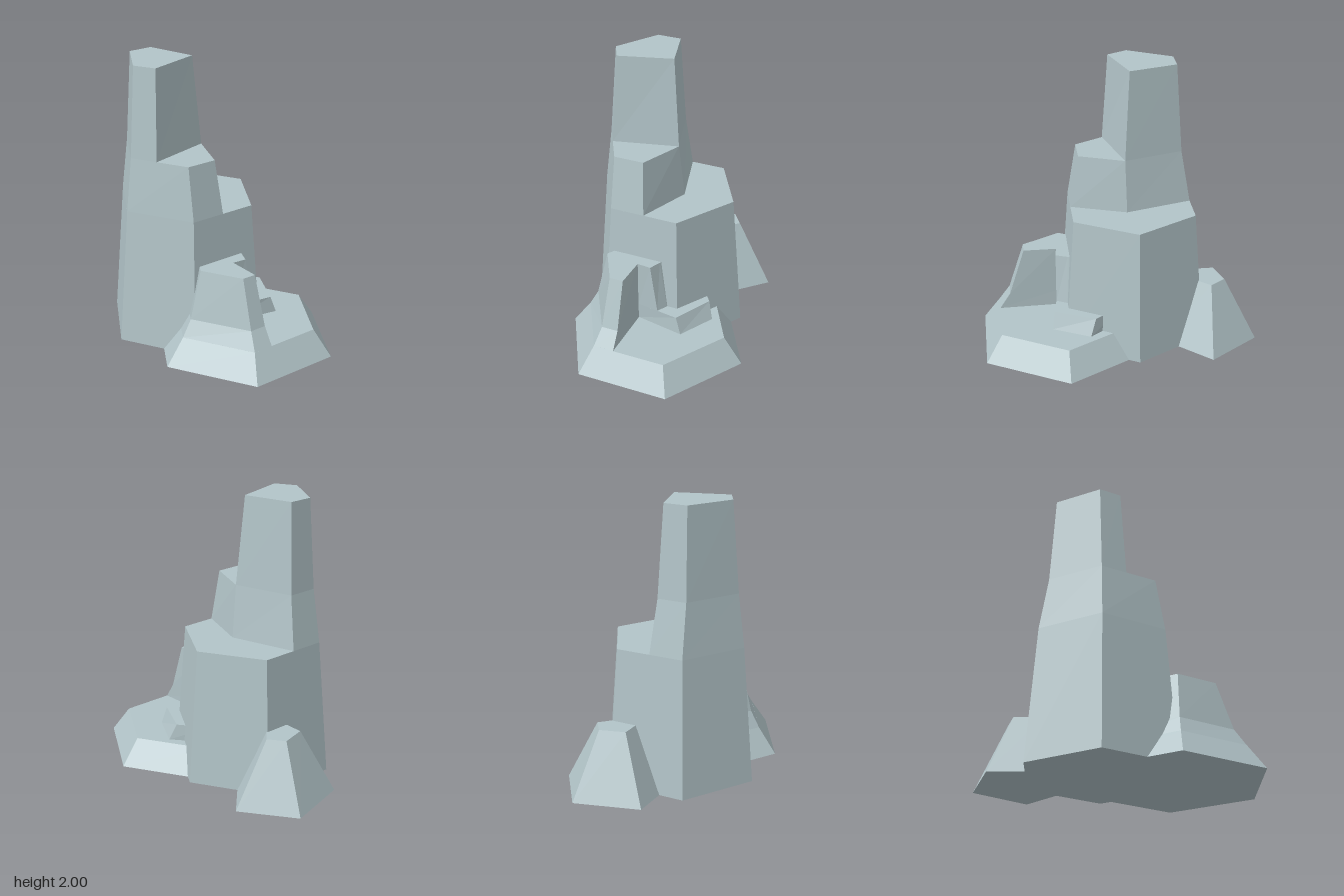
import * as THREE from 'three';

// Flat-shaded loft through [y, [[x, z], ...]] sections with equal corner counts
function loft(sections) {
  const rings = sections.map(([y, pts]) => {
    const flat = pts.map(([x, z]) => new THREE.Vector2(x, z));
    if (THREE.ShapeUtils.area(flat) > 0) flat.reverse();
    return flat.map((p) => new THREE.Vector3(p.x, y, p.y));
  });
  const out = [];
  const tri = (a, b, c) => [a, b, c].forEach((p) => out.push(p.x, p.y, p.z));

  // Sides
  for (let i = 0; i < rings.length - 1; i++) {
    const lo = rings[i], hi = rings[i + 1], n = lo.length;
    for (let j = 0; j < n; j++) {
      const k = (j + 1) % n;
      tri(lo[j], lo[k], hi[k]);
      tri(lo[j], hi[k], hi[j]);
    }
  }

  // Caps: top always, underside only where it rests on the ground
  const cap = (ring, up) => {
    const flat = ring.map((p) => new THREE.Vector2(p.x, p.z));
    for (const f of THREE.ShapeUtils.triangulateShape(flat, [])) {
      const faceUp = THREE.ShapeUtils.area(f.map((i) => flat[i])) < 0;
      const [a, b, c] = f.map((i) => ring[i]);
      if (faceUp === up) tri(a, b, c);
      else tri(a, c, b);
    }
  };
  cap(rings[rings.length - 1], true);
  if (rings[0][0].y === 0) cap(rings[0], false);

  const geo = new THREE.BufferGeometry();
  geo.setAttribute('position', new THREE.Float32BufferAttribute(out, 3));
  geo.computeVertexNormals();
  return geo;
}

// Hexagon with corners pointing along z
function hexagon(cx, cz, r) {
  return Array.from({ length: 6 }, (_, i) => {
    const a = (i * Math.PI) / 3;
    return [cx + Math.sin(a) * r, cz + Math.cos(a) * r];
  });
}

export function createModel() {
  const model = new THREE.Group();
  model.name = 'rockFormation';
  const stone = new THREE.MeshStandardMaterial({ color: 0xb2c4c8, flatShading: true });
  stone.name = 'paleBlueGreyStone';

  const addRock = (parent, name, sections) => {
    const mesh = new THREE.Mesh(loft(sections), stone);
    mesh.name = name;
    parent.add(mesh);
  };
  const addGroup = (name) => {
    const g = new THREE.Group();
    g.name = name;
    model.add(g);
    return g;
  };

  // Tall stepped column
  const column = addGroup('tallColumn');
  addRock(column, 'columnBase', [
    [0, hexagon(-0.1, 0.1, 0.58)],
    [0.98, hexagon(-0.1, 0.1, 0.5)],
  ]);
  addRock(column, 'columnMiddle', [
    [0.98, [[-0.533, 0.1], [-0.06, -0.04], [0.333, 0.1], [0.333, 0.35], [-0.1, 0.6], [-0.533, 0.35]]],
    [1.36, [[-0.47, 0.13], [-0.05, 0], [0.27, 0.125], [0.27, 0.345], [-0.105, 0.555], [-0.47, 0.345]]],
  ]);
  addRock(column, 'columnTop', [
    [1.36, [[-0.47, 0.13], [-0.05, 0], [0.065, 0.46], [-0.105, 0.555], [-0.47, 0.345]]],
    [2, [[-0.43, 0.155], [-0.085, 0.05], [0.025, 0.43], [-0.12, 0.51], [-0.43, 0.33]]],
  ]);

  // Low stepped boulder on the left side
  const boulder = addGroup('steppedBoulder');
  addRock(boulder, 'boulderBase', [
    [0, hexagon(0.41, -0.025, 0.662)],
    [0.185, hexagon(0.41, -0.025, 0.527)],
  ]);
  addRock(boulder, 'boulderFront', [
    [0.185, [[0.1, 0.1], [0.43, 0.1], [0.866, 0.09], [0.866, 0.238], [0.41, 0.502], [-0.046, 0.238]]],
    [0.305, [[0.1, 0.1], [0.435, 0.1], [0.79, 0.09], [0.79, 0.21], [0.41, 0.435], [0.03, 0.21]]],
    [0.65, [[0.15, 0.1], [0.445, 0.095], [0.68, 0.095], [0.68, 0.195], [0.41, 0.35], [0.14, 0.195]]],
  ]);
  addRock(boulder, 'boulderLowStep', [
    [0.185, [[0.43, 0.1], [0.5, -0.255], [0.24, -0.39], [0, -0.2], [0.1, 0.1]]],
    [0.305, [[0.435, 0.1], [0.485, -0.215], [0.2, -0.35], [0, -0.2], [0.1, 0.1]]],
  ]);
  addRock(boulder, 'boulderHighStep', [
    [0.305, [[0.435, 0.1], [0.46, -0.06], [0.385, -0.1], [0.2, -0.18], [0.15, 0.1]]],
    [0.65, [[0.445, 0.095], [0.455, -0.005], [0.37, -0.04], [0.2, -0.11], [0.15, 0.1]]],
  ]);

  // Small five-sided rock on the right side
  addRock(model, 'smallRock', [
    [0, [[-0.625, -0.51], [-0.985, -0.25], [-0.855, 0.21], [-0.4, 0.21], [-0.29, -0.19]]],
    [0.465, [[-0.645, -0.25], [-0.755, -0.17], [-0.705, 0.01], [-0.5, 0.01], [-0.46, -0.08]]],
  ]);

  return model;
}
